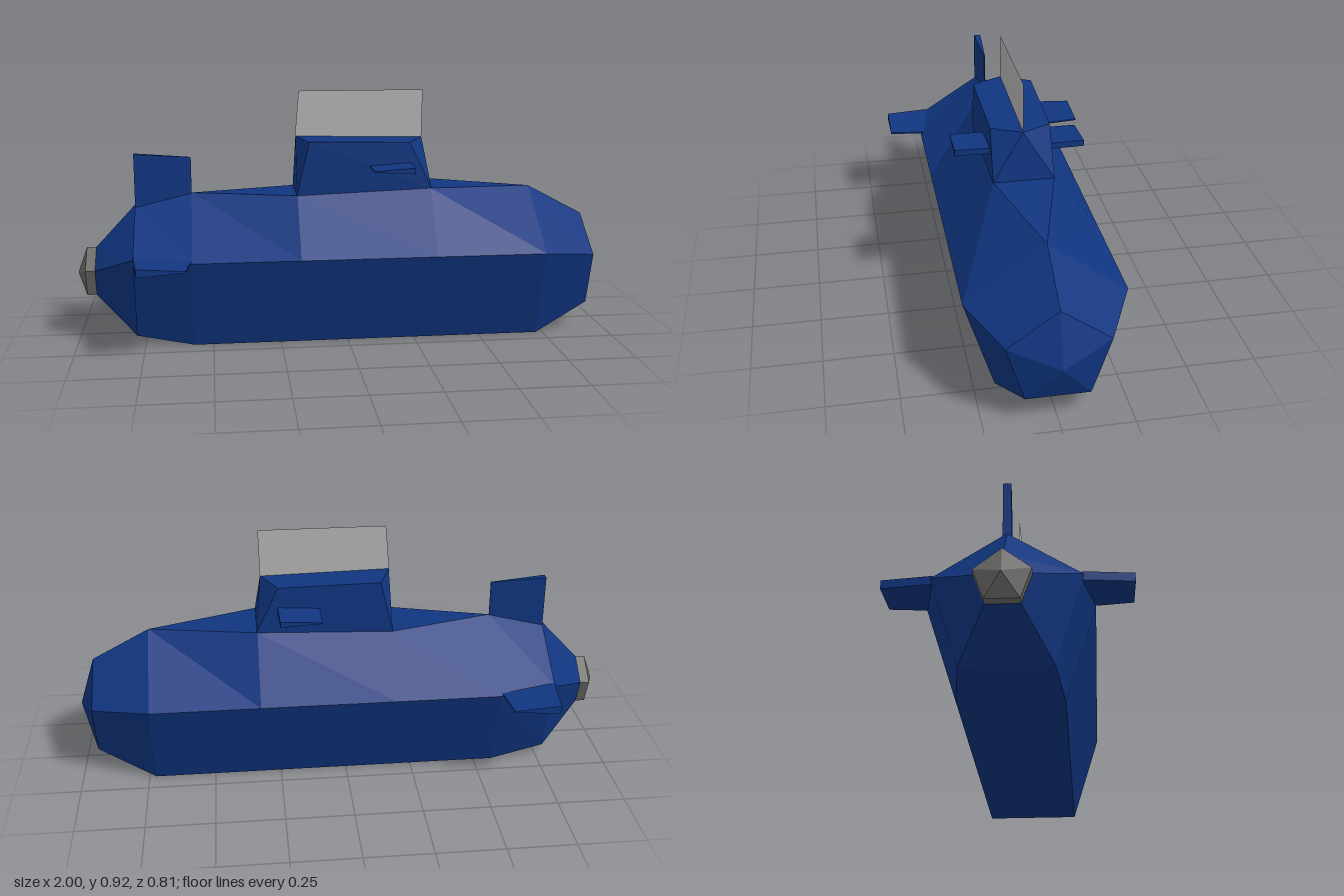
import * as THREE from 'three';
import { ConvexGeometry } from 'three/addons/geometries/ConvexGeometry.js';

const V = (x, y, z) => new THREE.Vector3(x, y, z);

// Cross-section: ridge height and half width, side corner, bottom corner
const section = (x, topY, topZ, sideY, sideZ, botY, botZ) => [
  V(x, topY, topZ), V(x, sideY, sideZ), V(x, botY, botZ),
  V(x, botY, -botZ), V(x, sideY, -sideZ), V(x, topY, -topZ),
];
const tip = (x, y) => section(x, y, 0, y, 0, y, 0);

// Faceted skin over sections ordered from low x to high x
function loft(rings) {
  const pos = [];
  const face = (...tri) => {
    if (new THREE.Triangle(...tri).getArea() > 1e-6) tri.forEach((p) => pos.push(p.x, p.y, p.z));
  };
  for (let r = 0; r < rings.length - 1; r++) {
    const [A, B] = [rings[r], rings[r + 1]];
    for (let i = 0; i < 6; i++) {
      const j = (i + 1) % 6;
      face(A[i], A[j], B[j]);
      face(A[i], B[j], B[i]);
    }
  }
  const g = new THREE.BufferGeometry();
  g.setAttribute('position', new THREE.Float32BufferAttribute(pos, 3));
  g.computeVertexNormals();
  return g;
}

// Wedge-shaped horizontal fin; thickness differs at its back and front edge
function fin(side, root, end, y, backT, frontT) {
  const pts = [];
  for (const [back, front, z] of [root, end]) {
    for (const s of [-0.5, 0.5]) {
      pts.push(V(back, y + s * backT, side * z), V(front, y + s * frontT, side * z));
    }
  }
  return new ConvexGeometry(pts);
}

export function createModel() {
  const group = new THREE.Group();
  const paint = (name, color, extra = {}) => {
    const m = new THREE.MeshStandardMaterial({ color, flatShading: true, ...extra });
    m.name = name;
    return m;
  };
  const navy = paint('navy', 0x103580);
  const steel = paint('darkGrey', 0x6b6a67);
  const pale = paint('paleGrey', 0xb4b4b4, { side: THREE.DoubleSide });
  const add = (name, geometry, material) => {
    const mesh = new THREE.Mesh(geometry, material);
    mesh.name = name;
    group.add(mesh);
  };

  // Pentagonal hull; the ridge widens into a deck under the tower
  const stern = (x) => section(x, 0.34, 0, 0.27, 0.09, 0.17, 0.055);
  add('hull', loft([
    stern(-0.93),
    section(-0.78, 0.5, 0, 0.345, 0.243, 0.035, 0.15),
    section(-0.57, 0.54, 0, 0.335, 0.28, 0, 0.175),
    section(-0.18, 0.54, 0.11, 0.335, 0.28, 0, 0.175),
    section(0.32, 0.558, 0.11, 0.335, 0.28, 0, 0.175),
    section(0.725, 0.54, 0, 0.335, 0.28, 0, 0.175),
    section(0.94, 0.425, 0, 0.3, 0.175, 0.095, 0.11),
    tip(1, 0.24),
  ]), navy);

  // Stern cap
  add('sternCap', loft([tip(-1, 0.245), stern(-0.965), stern(-0.93)]), steel);

  // Conning tower with pointed top outline
  const tower = [V(-0.178, 0.747, 0), V(0.302, 0.737, 0)];
  for (const s of [1, -1]) {
    tower.push(V(-0.182, 0.54, s * 0.11), V(0.323, 0.558, s * 0.11),
      V(-0.135, 0.74, s * 0.112), V(0.24, 0.732, s * 0.107));
  }
  add('tower', new ConvexGeometry(tower), navy);

  // Thin upright mast sheet
  const sheet = new THREE.Shape([
    new THREE.Vector2(-0.18, 0.745), new THREE.Vector2(0.302, 0.735),
    new THREE.Vector2(0.305, 0.917), new THREE.Vector2(-0.165, 0.917),
  ]);
  add('mastSheet', new THREE.ShapeGeometry(sheet), pale);

  // Horizontal fins on tower and tail
  for (const [side, label] of [[1, 'left'], [-1, 'right']]) {
    add(label + 'TowerFin', fin(side, [0.09, 0.245, 0.1], [0.09, 0.24, 0.234], 0.645, 0.004, 0.022), navy);
    add(label + 'TailFin', fin(side, [-0.78, -0.57, 0.235], [-0.76, -0.59, 0.405], 0.339, 0.03, 0.006), navy);
  }

  // Upright rudder, thick at its trailing edge
  const rudder = [];
  for (const s of [1, -1]) {
    rudder.push(V(-0.78, 0.48, s * 0.014), V(-0.78, 0.69, s * 0.014),
      V(-0.57, 0.52, s * 0.002), V(-0.57, 0.675, s * 0.002));
  }
  add('rudder', new ConvexGeometry(rudder), navy);

  return group;
}
